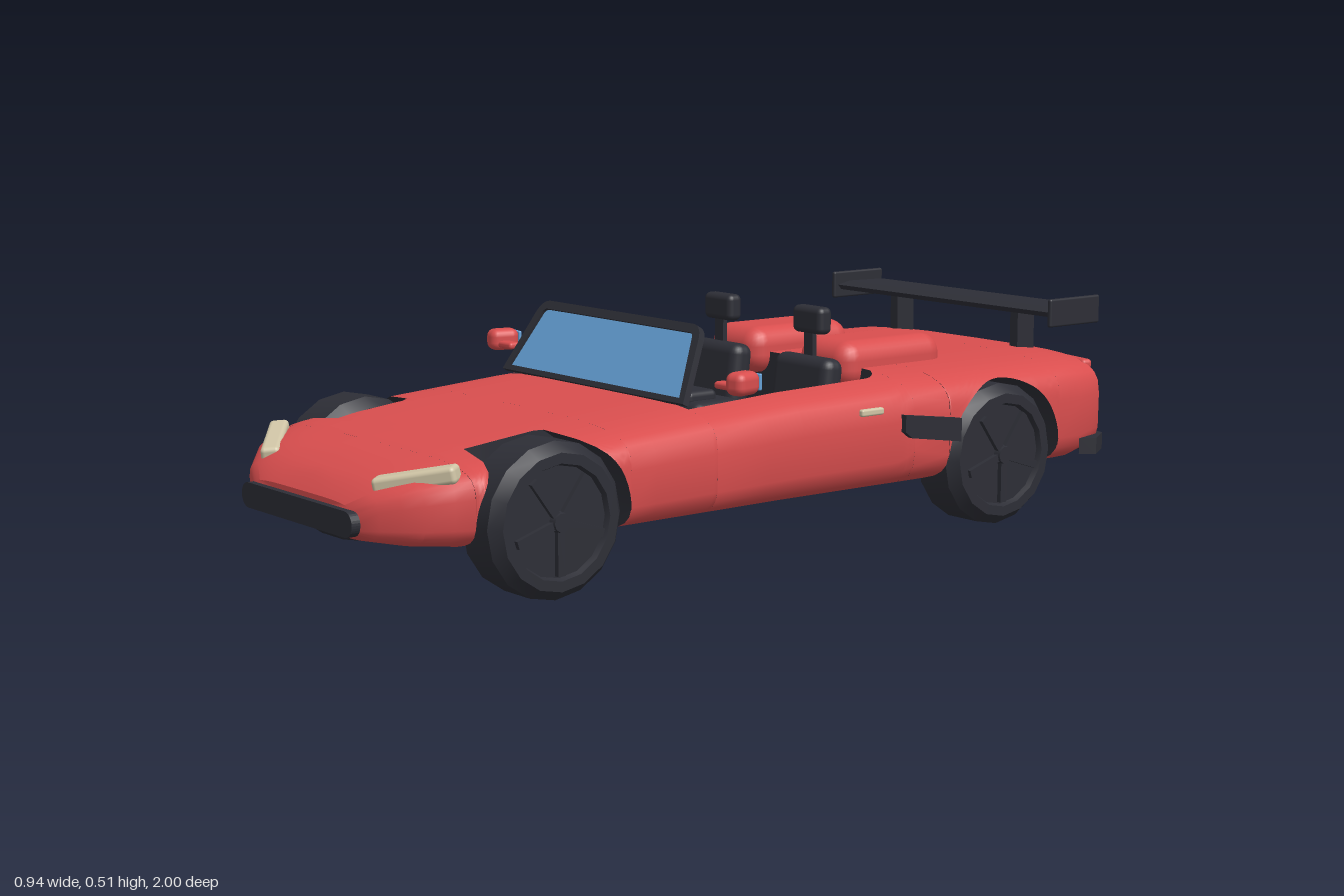
import * as THREE from 'three';
import { toCreasedNormals } from 'three/addons/utils/BufferGeometryUtils.js';
import { RoundedBoxGeometry } from 'three/addons/geometries/RoundedBoxGeometry.js';

const paint = (name, color) => {
  const m = new THREE.MeshStandardMaterial({ color });
  m.name = name;
  return m;
};

// Body stations: z, half width, bottom, top
const KEYS = [
  [0.985, 0.2, 0.14, 0.205], [0.96, 0.26, 0.125, 0.235], [0.9, 0.335, 0.115, 0.268], [0.8, 0.395, 0.107, 0.293],
  [0.7, 0.418, 0.105, 0.308], [0.55, 0.43, 0.105, 0.325], [0.25, 0.43, 0.105, 0.348], [0, 0.425, 0.105, 0.362],
  [-0.3, 0.43, 0.105, 0.37], [-0.7, 0.435, 0.105, 0.371], [-0.85, 0.43, 0.105, 0.37], [-0.93, 0.41, 0.12, 0.36],
  [-0.96, 0.36, 0.14, 0.335], [-0.972, 0.28, 0.17, 0.31],
];
const WHEEL_Z = [0.64, -0.6], WHEEL_Y = 0.163, ARCH = 0.175;
const PIT = [0.24, -0.32], FLOOR = 0.16, N = 4.5, EPS = 1e-4;
const SIDE = 12, TOP = 4;

function keyAt(z) {
  let i = 0;
  while (i < KEYS.length - 2 && z < KEYS[i + 1][0]) i++;
  const [a, b] = [KEYS[i], KEYS[i + 1]];
  const t = (z - a[0]) / (b[0] - a[0]);
  return a.map((v, k) => v + (b[k] - v) * t);
}

// Half cross-section from bottom centre round to top centre, cut by wheel arches and cockpit
function section(z) {
  const [, w, yb, yt] = keyAt(z);
  const ym = (yb + yt) / 2, h = (yt - yb) / 2;
  const curve = (t) => [w * Math.max(0, Math.cos(t)) ** (2 / N), ym + h * Math.sign(t) * Math.abs(Math.sin(t)) ** (2 / N), z];
  const angleAtX = (x) => Math.acos((x / w) ** (N / 2));
  const xi = Math.min(0.25, 0.6 * w), tx = angleAtX(xi), low = curve(-tx)[1];
  let a = low;
  for (const wz of WHEEL_Z) {
    const d = Math.abs(z - wz);
    if (d <= ARCH + EPS / 4) a = Math.min(curve(tx)[1], WHEEL_Y + Math.sqrt(Math.max(0, ARCH ** 2 - d * d)));
  }
  const s = THREE.MathUtils.clamp((a - ym) / h, -1, 1);
  const ta = THREE.MathUtils.clamp(Math.sign(s) * Math.asin(Math.abs(s) ** (N / 2)), -tx, tx);
  const corner = Math.max(0, 0.06 - Math.abs(z - PIT[1])) / 0.06;
  const hw = Math.min(0.33 - 0.05 * corner ** 2, 0.77 * w);
  const tc = Math.max(ta, angleAtX(hw));
  const open = z < PIT[0] && z > PIT[1];

  const pts = [[0, low, z], [xi, low, z], [xi, a, z]];
  for (let i = 0; i <= SIDE; i++) pts.push(curve(ta + ((tc - ta) * i) / SIDE));
  const edge = pts[pts.length - 1];
  for (let i = 0; i <= TOP; i++) {
    pts.push(open ? [edge[0] * (1 - i / TOP), FLOOR, z] : curve(tc + ((Math.PI / 2 - tc) * i) / TOP));
  }
  return { pts, open };
}

function buildBody() {
  const jumps = [...PIT, ...WHEEL_Z.flatMap((z) => [z + ARCH, z - ARCH])];
  const zs = KEYS.map((k) => k[0]);
  for (const j of jumps) zs.push(j + EPS / 2, j - EPS / 2);
  for (const wz of WHEEL_Z) for (let i = 1; i < 28; i++) zs.push(wz + ARCH * Math.cos((i * Math.PI) / 28));
  for (const z of [-0.315, -0.305, -0.29, -0.275, -0.26, 0.1, 0.4, 0.85, 0.93, -0.9]) zs.push(z);
  zs.sort((a, b) => b - a);
  // snap the arch end stations onto the arch
  const rings = zs.map(section);
  const shell = [], lining = [];
  const tri = (out, a, b, c) => {
    out.push(...a, ...b, ...c);
    for (const p of [a, c, b]) out.push(-p[0], p[1], p[2]);
  };
  for (let i = 0; i < rings.length - 1; i++) {
    const [p, q] = [rings[i], rings[i + 1]];
    const jump = zs[i] - zs[i + 1] < EPS * 1.5;
    for (let k = 0; k < p.pts.length - 1; k++) {
      const pit = k >= 3 + SIDE && (p.open || q.open);
      const out = jump || pit || k === 1 || k === 2 ? lining : shell;
      tri(out, p.pts[k], q.pts[k + 1], p.pts[k + 1]);
      tri(out, p.pts[k], q.pts[k], q.pts[k + 1]);
    }
  }
  // Nose and tail caps
  for (const [ring, front] of [[rings[0], true], [rings[rings.length - 1], false]]) {
    const P = ring.pts, mid = [0, (P[0][1] + P[P.length - 1][1]) / 2, P[0][2]];
    for (let k = 0; k < P.length - 1; k++) front ? tri(shell, mid, P[k], P[k + 1]) : tri(shell, mid, P[k + 1], P[k]);
  }
  return [shell, lining].map((v) => {
    const g = new THREE.BufferGeometry();
    g.setAttribute('position', new THREE.Float32BufferAttribute(v, 3));
    return toCreasedNormals(g, 0.6);
  });
}

const polygon = (pts) => new THREE.Shape(pts.map((p) => new THREE.Vector2(...p)));
const extrude = (shape, depth) => new THREE.ExtrudeGeometry(shape, { depth, bevelEnabled: false, curveSegments: 8 });
const rbox = (x, y, z, r) => new RoundedBoxGeometry(x, y, z, 3, r);

// Windscreen outline: trapezoid with rounded top corners
function screenOutline(C, b, t, y0, y1, r) {
  const s = new C();
  s.moveTo(-b, y0);
  s.lineTo(b, y0);
  s.lineTo(t + r * 0.3, y1 - r);
  s.quadraticCurveTo(t, y1, t - r, y1);
  s.lineTo(-t + r, y1);
  s.quadraticCurveTo(-t, y1, -t - r * 0.3, y1 - r);
  s.closePath();
  return s;
}

export function createModel() {
  const red = paint('red paint', 0xd94e4e), dark = paint('dark trim', 0x2d2e36);
  const blue = paint('blue glass', 0x66a2d8), cream = paint('cream lamp', 0xd0c5a6);
  const model = new THREE.Group();
  model.name = 'roadster';
  const add = (name, geo, mat, pos = [0, 0, 0], rot = [0, 0, 0], parent = model) => {
    const m = new THREE.Mesh(geo, mat);
    m.name = name;
    m.position.set(...pos);
    m.rotation.set(...rot);
    parent.add(m);
    return m;
  };

  const [shell, lining] = buildBody();
  add('body', shell, red);
  dark.side = THREE.DoubleSide;
  add('wheelWellsAndCockpit', lining, dark);

  // Wheels
  const tyre = toCreasedNormals(new THREE.LatheGeometry([
    [0, -0.07], [0.14, -0.07], [0.163, -0.045], [0.163, 0.045], [0.142, 0.07], [0.12, 0.07], [0.115, 0.058], [0, 0.058],
  ].map((p) => new THREE.Vector2(...p)), 16), 0.5);
  for (const z of WHEEL_Z) for (const s of [1, -1]) {
    const wheel = new THREE.Group();
    wheel.name = z > 0 ? 'frontWheel' : 'rearWheel';
    wheel.position.set(s * 0.36, WHEEL_Y, z);
    wheel.rotation.z = (-s * Math.PI) / 2;
    add('tyre', tyre, dark, [0, 0, 0], [0, 0, 0], wheel);
    add('hub', new THREE.CylinderGeometry(0.02, 0.024, 0.02, 10), dark, [0, 0.064, 0], [0, 0, 0], wheel);
    for (let i = 0; i < 5; i++) {
      const a = (i * Math.PI * 2) / 5;
      add('spoke', new THREE.BoxGeometry(0.1, 0.014, 0.018), dark, [0.06 * Math.cos(a), 0.062, -0.06 * Math.sin(a)], [0, a, 0], wheel);
    }
    model.add(wheel);
  }

  // Windscreen
  const frame = screenOutline(THREE.Shape, 0.335, 0.29, 0, 0.178, 0.03);
  frame.holes.push(screenOutline(THREE.Path, 0.315, 0.273, 0.012, 0.158, 0.012));
  add('windscreenFrame', extrude(frame, 0.016), dark, [0, 0.345, 0.245], [-0.5, 0, 0]);
  add('windscreen', extrude(screenOutline(THREE.Shape, 0.317, 0.275, 0.01, 0.16, 0.012), 0.006), blue, [0, 0.347, 0.248], [-0.5, 0, 0]);

  // Interior
  add('dashboard', rbox(0.64, 0.16, 0.14, 0.025), dark, [0, 0.265, 0.14]);
  add('dashShelf', rbox(0.56, 0.03, 0.08, 0.012), dark, [0, 0.35, 0.16]);
  const steering = new THREE.Group();
  steering.name = 'steeringWheel';
  steering.position.set(-0.16, 0.348, 0.025);
  steering.rotation.x = 0.55;
  add('rim', new THREE.TorusGeometry(0.07, 0.008, 8, 24), dark, [0, 0, 0], [0, 0, 0], steering);
  add('column', new THREE.CylinderGeometry(0.016, 0.016, 0.08, 10), dark, [0, 0, 0.035], [Math.PI / 2, 0, 0], steering);
  for (let i = 0; i < 3; i++) {
    const a = -Math.PI / 2 + (i * Math.PI * 2) / 3;
    add('rimSpoke', new THREE.BoxGeometry(0.07, 0.014, 0.008), dark, [0.035 * Math.cos(a), 0.035 * Math.sin(a), 0], [0, 0, a], steering);
  }
  model.add(steering);

  for (const s of [1, -1]) {
    // Seats and the humps behind them
    add('seatCushion', rbox(0.2, 0.07, 0.2, 0.025), dark, [s * 0.16, 0.2, -0.11]);
    add('seatBack', rbox(0.19, 0.22, 0.06, 0.025), dark, [s * 0.16, 0.285, -0.23], [-0.12, 0, 0]);
    add('headrestPost', new THREE.BoxGeometry(0.03, 0.06, 0.012), dark, [s * 0.16, 0.42, -0.245]);
    add('headrest', rbox(0.1, 0.062, 0.04, 0.014), dark, [s * 0.16, 0.475, -0.25]);
    add('seatHump', rbox(0.18, 0.11, 0.31, 0.045), red, [s * 0.16, 0.372, -0.427]);

    // Lamps
    add('headlight', rbox(0.18, 0.036, 0.042, 0.01), cream, [s * 0.28, 0.257, 0.885], [0.1, s * 0.65, s * 0.13]);
    add('tailLight', rbox(0.12, 0.024, 0.03, 0.01), red, [s * 0.31, 0.335, -0.945], [0, s * -0.2, 0]);
    add('sideMarker', rbox(0.014, 0.016, 0.065, 0.005), cream, [s * 0.429, 0.303, -0.19]);

    // Side air intake
    const intake = extrude(polygon([[-0.28, 0.288], [-0.45, 0.265], [-0.45, 0.212], [-0.3, 0.235], [-0.28, 0.25]]), 0.03).rotateY(-Math.PI / 2);
    add('airIntake', intake, dark, [s > 0 ? 0.443 : -0.413, 0, 0]);

    // Door mirrors
    add('mirrorArm', rbox(0.07, 0.016, 0.03, 0.007), red, [s * 0.41, 0.394, 0.195]);
    add('mirrorShell', rbox(0.05, 0.05, 0.07, 0.018), red, [s * 0.442, 0.403, 0.185], [0, s * 0.2, 0]);
    add('mirrorGlass', rbox(0.04, 0.036, 0.008, 0.003), blue, [s * 0.435, 0.403, 0.149], [0, s * 0.2, 0]);

    // Wing supports and end plates
    add('wingSupport', new THREE.BoxGeometry(0.025, 0.1, 0.055), dark, [s * 0.21, 0.405, -0.872]);
    add('wingEndPlate', rbox(0.012, 0.066, 0.165, 0.005), dark, [s * 0.378, 0.468, -0.87]);
  }

  // Rear wing
  const foil = polygon([[-0.8, 0.468], [-0.84, 0.476], [-0.95, 0.474], [-0.95, 0.464], [-0.86, 0.448], [-0.81, 0.456]]);
  add('rearWing', extrude(foil, 0.75).rotateY(-Math.PI / 2), dark, [0.375, 0, 0]);

  // Bumpers and number plate
  const grille = new THREE.Shape();
  grille.absarc(0.195, 0.167, 0.027, -Math.PI / 2, Math.PI / 2);
  grille.absarc(-0.195, 0.167, 0.027, Math.PI / 2, Math.PI * 1.5);
  add('frontBumper', extrude(grille, 0.02), dark, [0, 0, 0.98]);
  const outer = [[0.447, 0.885], [0.4, 0.955], [0.22, 0.99], [0, 1.0]];
  const inner = [[0, 0.95], [0.22, 0.945], [0.38, 0.9], [0.425, 0.85]];
  const flip = (pts) => pts.map(([x, y]) => [-x, y]).reverse();
  const strip = polygon([...outer, ...flip(outer).slice(1), ...flip(inner), ...inner.slice(1)]);
  add('rearBumper', extrude(strip, 0.038).rotateX(-Math.PI / 2), dark, [0, 0.136, 0]);
  add('numberPlate', rbox(0.155, 0.05, 0.012, 0.004), cream, [0, 0.236, -0.973]);

  return model;
}
